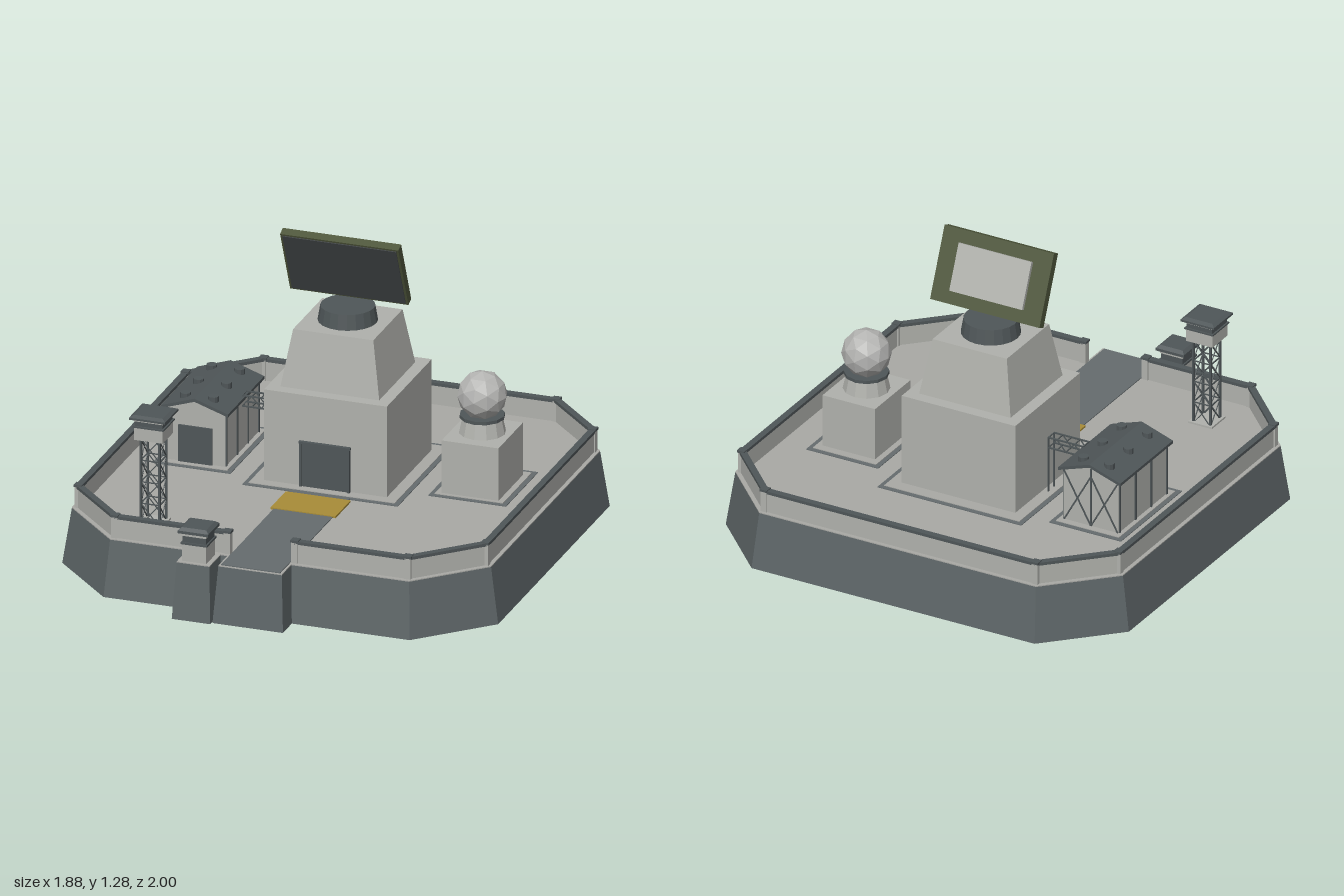
import * as THREE from 'three';

const mat = (name, color) => {
  const m = new THREE.MeshStandardMaterial({ color });
  m.name = name;
  m.flatShading = true;
  return m;
};

export function createModel() {
  const model = new THREE.Group();
  const concrete = mat('concrete', 0xb0b1ac), deckGrey = mat('deck grey', 0xa9a9a5);
  const stone = mat('dark stone', 0x5d6567), road = mat('road grey', 0x656c6e);
  const metal = mat('dark metal', 0x4f5658), face = mat('array black', 0x404446);
  const olive = mat('olive', 0x4e563b), yellow = mat('yellow', 0xa88c38);
  const white = mat('radome white', 0xb4b4b2);

  const add = (name, geo, m, parent = model) => {
    const mesh = new THREE.Mesh(geo, m);
    mesh.name = name;
    parent.add(mesh);
    return mesh;
  };
  // box given by centre x/z, bottom and top heights
  const box = (name, m, x, z, w, d, y0, y1, parent) => {
    const b = add(name, new THREE.BoxGeometry(w, y1 - y0, d), m, parent);
    b.position.set(x, (y0 + y1) / 2, z);
    return b;
  };
  // solid between two horizontal outlines with the same number of corners
  const loft = (name, m, lo, hi, y0, y1, parent) => {
    const p = [], n = lo.length;
    const v = (o, i, y) => p.push(o[i % n][0], y, o[i % n][1]);
    for (let i = 0; i < n; i++) {
      v(lo, i, y0); v(lo, i + 1, y0); v(hi, i + 1, y1);
      v(lo, i, y0); v(hi, i + 1, y1); v(hi, i, y1);
      if (i > 0 && i < n - 1) {
        v(hi, 0, y1); v(hi, i, y1); v(hi, i + 1, y1);
        v(lo, 0, y0); v(lo, i + 1, y0); v(lo, i, y0);
      }
    }
    const g = new THREE.BufferGeometry();
    g.setAttribute('position', new THREE.Float32BufferAttribute(p, 3));
    g.computeVertexNormals();
    return add(name, g, m, parent);
  };
  const rect = (x0, x1, z0, z1) => [[x0, z1], [x1, z1], [x1, z0], [x0, z0]];
  const square = (x, z, h) => rect(x - h, x + h, z - h, z + h);
  const octagon = (h, z0, z1, c) => [[-h + c, z1], [h - c, z1], [h, z1 - c], [h, z0 + c],
    [h - c, z0], [-h + c, z0], [-h, z0 + c], [-h, z1 - c]];
  const rod = (name, m, a, b, r, parent) => {
    const s = new THREE.Vector3(...a), e = new THREE.Vector3(...b), d = e.clone().sub(s);
    const mesh = add(name, new THREE.BoxGeometry(r * 2, d.length(), r * 2), m, parent);
    mesh.position.copy(s).add(e).multiplyScalar(0.5);
    mesh.quaternion.setFromUnitVectors(new THREE.Vector3(0, 1, 0), d.normalize());
  };

  // sloped base with gate and guard bastions, each with a deck
  const Y = 0.24, D = 0.244;
  [
    ['base', octagon(0.94, -1, 0.88, 0.28), octagon(0.904, -0.964, 0.844, 0.259)],
    ['gateBastion', rect(-0.152, 0.152, 0.7, 0.985), rect(-0.137, 0.137, 0.7, 0.957)],
    ['guardBastion', rect(-0.322, -0.157, 0.7, 1), rect(-0.31, -0.168, 0.7, 0.975)],
  ].forEach(([name, lo, hi]) => {
    loft(name, stone, lo, hi, 0, Y);
    loft(name + 'Deck', deckGrey, hi, hi, Y, D);
  });
  box('road', road, 0, 0.535, 0.254, 0.83, D, 0.248);
  box('yellowMarking', yellow, 0, 0.24, 0.28, 0.18, D, 0.252);

  // perimeter wall with coping, open at the gate
  const o = octagon(0.878, -0.938, 0.818, 0.246);
  const path = [[0.145, 0.818], ...o.slice(1), o[0], [-0.145, 0.818]];
  path.forEach(([x, z], i) => {
    box('wallPost', concrete, x, z, 0.028, 0.028, D, 0.335);
    box('postCap', metal, x, z, 0.034, 0.034, 0.335, 0.345);
    if (!i) return;
    const [px, pz] = path[i - 1], len = Math.hypot(x - px, z - pz);
    const seg = new THREE.Group();
    seg.name = 'wallSection';
    seg.position.set((x + px) / 2, 0, (z + pz) / 2);
    seg.rotation.y = -Math.atan2(z - pz, x - px);
    box('wall', concrete, 0, 0, len, 0.018, D, 0.328, seg);
    box('coping', metal, 0, 0, len, 0.028, 0.328, 0.341, seg);
    model.add(seg);
  });

  // building pads: dark border around a light slab
  const pad = (x, z, w, d) => {
    box('padBorder', road, x, z, w, d, D, 0.247);
    box('pad', deckGrey, x, z, w - 0.04, d - 0.04, D, 0.25);
  };
  pad(0, -0.205, 0.67, 0.67);
  pad(0.58, -0.21, 0.335, 0.38);
  pad(-0.587, -0.21, 0.335, 0.5);

  // main radar building
  box('mainBlock', concrete, 0, -0.2, 0.53, 0.53, D, 0.648);
  loft('upperBlock', concrete, square(0, -0.2, 0.213), square(0, -0.2, 0.173), 0.648, 0.89);
  box('mainDoor', metal, 0, 0.068, 0.2, 0.01, 0.25, 0.44);
  for (const s of [-1, 1]) box('doorFrame', metal, s * 0.103, 0.07, 0.01, 0.02, 0.25, 0.44);
  box('doorLintel', metal, 0, 0.07, 0.222, 0.022, 0.438, 0.447);
  add('turntable', new THREE.CylinderGeometry(0.112, 0.123, 0.065, 20), metal).position.set(0, 0.922, -0.2);

  // tilted radar array
  const radar = new THREE.Group();
  radar.name = 'radarArray';
  radar.position.set(0, 1.132, -0.174);
  radar.rotation.x = 0.396;
  box('arrayFrame', olive, 0, 0, 0.51, 0.036, -0.155, 0.155, radar);
  box('arrayFace', face, 0, 0.019, 0.49, 0.006, -0.147, 0.147, radar);
  box('arrayBackPanel', concrete, 0, -0.025, 0.34, 0.016, -0.1, 0.1, radar);
  model.add(radar);

  // radome building
  box('radomeBlock', concrete, 0.58, -0.2, 0.245, 0.29, D, 0.48);
  add('radomePedestal', new THREE.CylinderGeometry(0.083, 0.097, 0.065, 12), concrete).position.set(0.58, 0.512, -0.2);
  add('radomeRing', new THREE.CylinderGeometry(0.093, 0.093, 0.014, 12), metal).position.set(0.58, 0.552, -0.2);
  add('radome', new THREE.IcosahedronGeometry(0.103, 1), white).position.set(0.58, 0.642, -0.2);

  // service hut with gabled roof
  const hut = new THREE.Group();
  hut.name = 'hut';
  hut.position.set(-0.587, 0, -0.21);
  model.add(hut);
  const extrude = (name, m, pts, depth) => {
    const g = new THREE.ExtrudeGeometry(new THREE.Shape(pts.map(p => new THREE.Vector2(...p))),
      { depth, bevelEnabled: false });
    add(name, g.translate(0, 0, -depth / 2), m, hut);
  };
  extrude('hutWalls', concrete, [[-0.128, D], [0.128, D], [0.128, 0.48], [0, 0.522], [-0.128, 0.48]], 0.4);
  extrude('hutRoof', metal, [[-0.145, 0.475], [0, 0.523], [0.145, 0.475], [0.145, 0.488], [0, 0.537], [-0.145, 0.488]], 0.43);
  box('hutDoor', metal, 0, 0.203, 0.146, 0.009, 0.25, 0.41, hut);
  for (const s of [-1, 1]) {
    for (let i = 0; i < 4; i++) box('hutRib', metal, s * 0.13, -0.192 + i * 0.128, 0.006, 0.009, D, 0.478, hut);
    for (const z of [-0.155, 0, 0.155]) {
      add('roofVent', new THREE.CylinderGeometry(0.022, 0.022, 0.028, 10), metal, hut).position.set(s * 0.06, 0.521, z);
    }
    // cross braces on the rear gable
    rod('rearBrace', metal, [0, 0.25, -0.201], [s * 0.125, 0.475, -0.201], 0.003, hut);
    rod('rearBrace', metal, [s * 0.125, 0.25, -0.201], [0, 0.475, -0.201], 0.003, hut);
  }
  box('rearRib', metal, 0, -0.201, 0.007, 0.006, D, 0.51, hut);

  // cable truss between hut and main building
  const x0 = -0.45, x1 = -0.288, step = (x1 - x0) / 4;
  for (const z of [-0.235, -0.187]) {
    for (const y of [0.45, 0.496]) rod('trussRail', metal, [x0, y, z], [x1, y, z], 0.003);
    rod('trussLeg', metal, [x1, D, z], [x1, 0.496, z], 0.003);
    for (let i = 0; i < 4; i++) {
      const a = x0 + i * step, up = i % 2;
      rod('trussBrace', metal, [a, up ? 0.496 : 0.45, z], [a + step, up ? 0.45 : 0.496, z], 0.002);
    }
  }
  for (let i = 0; i <= 4; i++) {
    for (const y of [0.45, 0.496]) rod('trussTie', metal, [x0 + i * step, y, -0.235], [x0 + i * step, y, -0.187], 0.002);
  }

  // guard cabin: lower wall, window band, upper wall, overhanging roof
  const cabin = (name, x, z, y, h, half) => {
    const g = new THREE.Group();
    g.name = name;
    model.add(g);
    const part = (n, m, a, b, r, r2 = r) =>
      loft(n, m, square(x, z, half * r), square(x, z, half * r2), y + h * a, y + h * b, g);
    part('cabinWall', concrete, 0, 0.5, 0.95);
    part('cabinSill', metal, 0.5, 0.56, 1.03);
    part('cabinWindows', metal, 0.56, 0.74, 0.92);
    part('cabinTop', concrete, 0.74, 0.84, 0.95);
    part('cabinEave', metal, 0.84, 0.92, 1.2);
    part('cabinRoof', metal, 0.92, 1, 1.2, 0.95);
  };
  cabin('guardBooth', -0.24, 0.908, D, 0.148, 0.055);
  cabin('watchtowerCabin', -0.538, 0.622, 0.622, 0.11, 0.065);

  // watchtower lattice legs
  const tx = -0.538, tz = 0.622, r = 0.04, levels = 4, dy = (0.622 - D) / levels;
  for (let s = 0; s < 4; s++) {
    const corner = k => [tx + r * [-1, 1, 1, -1][k % 4], tz + r * [1, 1, -1, -1][k % 4]];
    const [ax, az] = corner(s), [bx, bz] = corner(s + 1);
    rod('towerLeg', metal, [ax, D, az], [ax, 0.622, az], 0.0045);
    for (let i = 0; i < levels; i++) {
      const y = D + i * dy;
      rod('towerBrace', metal, [ax, y, az], [bx, y + dy, bz], 0.0018);
      rod('towerBrace', metal, [bx, y, bz], [ax, y + dy, az], 0.0018);
      rod('towerTie', metal, [ax, y + dy, az], [bx, y + dy, bz], 0.0022);
    }
  }
  box('towerFooting', concrete, tx, tz, 0.11, 0.11, D, 0.252);
  return model;
}
